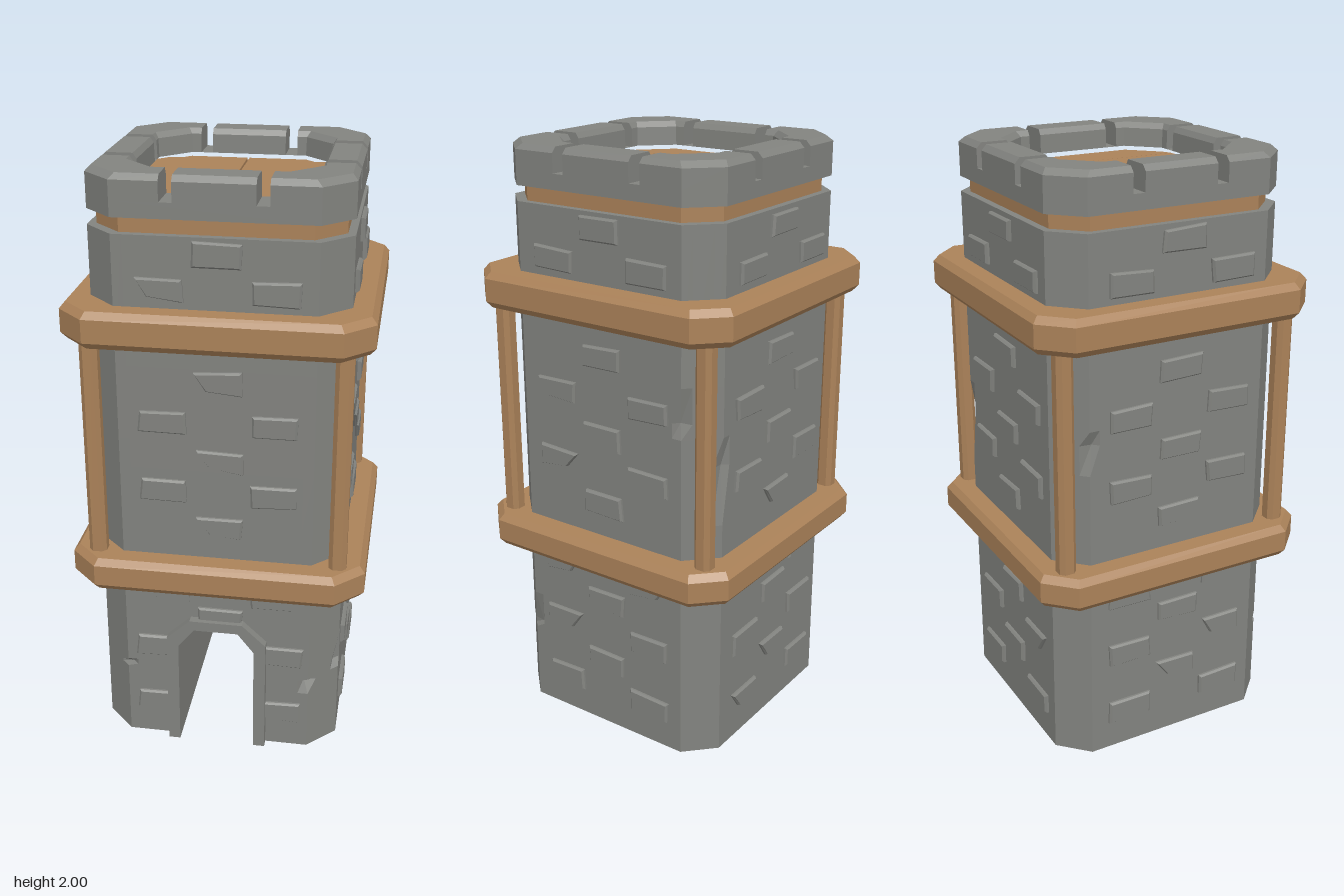
import * as THREE from 'three';

const stone = new THREE.MeshStandardMaterial({ color: 0x82837f });
stone.name = 'stone';
const wood = new THREE.MeshStandardMaterial({ color: 0xab8259 });
wood.name = 'wood';

// small seeded generator for the uneven bricks
let seed = 7;
const rnd = () => (seed = (seed * 16807) % 2147483647) / 2147483647;

// chamfered square as [x, z] points, counter-clockwise from above
function oct(h, c) {
  const k = h - c;
  return [[-k, h], [k, h], [h, k], [h, -k], [k, -h], [-k, -h], [-h, -k], [-h, k]];
}

// flat-faced solid through stacked outlines: [[points, y], ...]
function loft(sections) {
  const pos = [];
  const put = ([x, z], y) => pos.push(x, y, z);
  for (let s = 0; s < sections.length - 1; s++) {
    const [a, y0] = sections[s], [b, y1] = sections[s + 1];
    a.forEach((p, i) => {
      const j = (i + 1) % a.length;
      put(p, y0); put(a[j], y0); put(b[j], y1);
      put(p, y0); put(b[j], y1); put(b[i], y1);
    });
  }
  const cap = ([pts, y], up) => {
    const flat = pts.map(([x, z]) => new THREE.Vector2(x, -z));
    for (const f of THREE.ShapeUtils.triangulateShape(flat, [])) {
      (up ? f : [f[0], f[2], f[1]]).forEach(i => put(pts[i], y));
    }
  };
  cap(sections[0], false);
  cap(sections[sections.length - 1], true);
  const g = new THREE.BufferGeometry();
  g.setAttribute('position', new THREE.Float32BufferAttribute(pos, 3));
  g.computeVertexNormals();
  return g;
}

function add(parent, name, geometry, material) {
  const mesh = new THREE.Mesh(geometry, material);
  mesh.name = name;
  parent.add(mesh);
  return mesh;
}

// wall section whose corners carry chips [corner, yLow, yMid, yHigh]
function wall(y0, y1, chips, reshape = p => p) {
  const corners = oct(0.41, 0.095), d = 0.035;
  const toward = (a, b) => {
    const l = Math.hypot(b[0] - a[0], b[1] - a[1]);
    return [a[0] + (b[0] - a[0]) * d / l, a[1] + (b[1] - a[1]) * d / l];
  };
  const levels = [...new Set([y0, y1, ...chips.flatMap(c => c.slice(1))])].sort((a, b) => a - b);
  return loft(levels.map(y => [reshape(corners.flatMap((p, i) => {
    const k = chips.some(c => c[0] === i && c[2] === y) ? 0.95 : 1;
    return [toward(p, corners[(i + 7) % 8]), [p[0] * k, p[1] * k], toward(p, corners[(i + 1) % 8])];
  })), y]));
}

function extrude(points, depth, hole) {
  const v = pts => pts.map(p => new THREE.Vector2(...p));
  const shape = new THREE.Shape(v(points));
  if (hole) shape.holes.push(new THREE.Path(v(hole)));
  return new THREE.ExtrudeGeometry(shape, { depth, bevelEnabled: false });
}

// worn brick, lying against a wall that faces +z
function brick(w) {
  const h = 0.037, worn = rnd() < 0.35, end = rnd() < 0.5 ? 1 : -1;
  const j = () => (rnd() - 0.5) * 0.01;
  const base = [[-w, h], [w, h], [w, -h], [-w, -h]].map(([x, z]) => {
    const cut = worn && x * end > 0 && z > 0 ? 0.04 : 0;
    return [x + j() - end * cut, z + j() - cut * 0.3];
  });
  const top = base.map(([x, z]) => [x * 0.91, z * 0.85]);
  const g = loft([[base, -0.01], [base, 0.007], [top, 0.014]]);
  return g.rotateX(Math.PI / 2);
}

export function createModel() {
  const tower = new THREE.Group();
  tower.name = 'tower';

  // walls, with the doorway cut into the lower part
  const doorBack = -0.25;
  add(tower, 'lowerWall', wall(0, 0.46, [[0, 0.22, 0.28, 0.42], [1, 0.2, 0.27, 0.44], [2, 0.22, 0.3, 0.44]],
    p => [...p.slice(0, 3), [-0.13, 0.41], [-0.13, doorBack], [0.13, doorBack], [0.13, 0.41], ...p.slice(3)]), stone);
  add(tower, 'upperWall', wall(0.46, 1.82, [[3, 1.05, 1.2, 1.32], [4, 0.8, 1.05, 1.4], [6, 0.85, 1.15, 1.4]]), stone);
  for (const s of [-1, 1]) {
    const haunch = [[0.13 * s, 0.39], [0.13 * s, 0.46], [0.075 * s, 0.46]];
    add(tower, 'doorHaunch', extrude(haunch, 0.41 - doorBack), stone).position.z = doorBack;
  }

  // door frame
  add(tower, 'doorFrame', extrude([
    [-0.17, 0], [-0.13, 0], [-0.13, 0.39], [-0.075, 0.46], [0.075, 0.46], [0.13, 0.39], [0.13, 0],
    [0.17, 0], [0.17, 0.42], [0.09, 0.495], [-0.09, 0.495], [-0.17, 0.42],
  ], 0.04), stone).position.z = 0.4;

  // raised bricks on all four sides
  const pairRows = [1.655, 1.22, 0.975, 0.59, 0.37, 0.14];
  const singleRows = [1.77, 1.36, 1.09, 0.85, 0.49, 0.25];
  for (let side = 0; side < 4; side++) {
    const face = new THREE.Group();
    face.name = 'brickFace';
    face.rotation.y = side * Math.PI / 2;
    tower.add(face);
    const lay = (x, y, w = 0.075) => add(face, 'brick', brick(w), stone).position.set(x, y, 0.41);
    for (const y of pairRows) {
      const byDoor = side === 0 && y < 0.45;
      for (const s of [-1, 1]) lay(s * (byDoor ? 0.22 : 0.18) + 0.008, y, byDoor ? 0.066 : 0.075);
    }
    for (const y of singleRows) {
      if (side === 0 && y < 0.3) continue;
      lay(0.01, side === 0 && y < 0.5 ? 0.505 : y);
    }
  }

  // timber rings and corner posts
  for (const [y0, y1] of [[0.62, 0.735], [1.475, 1.595]]) {
    const inner = oct(0.472, 0.085), outer = oct(0.49, 0.092);
    add(tower, 'timberRing', loft([[inner, y0], [outer, y0 + 0.022], [outer, y1 - 0.022], [inner, y1]]), wood);
  }
  for (const x of [-0.4, 0.4]) for (const z of [-0.4, 0.4]) {
    const post = oct(0.029, 0.014).map(p => [p[0] + x, p[1] + z]);
    add(tower, 'cornerPost', loft([[post, 0.7], [post, 1.5]]), wood);
  }

  // timber band under the parapet
  add(tower, 'timberBand', loft([[oct(0.385, 0.09), 1.81], [oct(0.385, 0.09), 1.88]]), wood);

  // parapet base and merlons
  const base = extrude(oct(0.41, 0.095), 0.05, oct(0.292, 0.097));
  add(tower, 'parapetBase', base.rotateX(-Math.PI / 2).translate(0, 1.87, 0), stone);
  const n = 0.165, m = 0.125;
  const corner = (o, i) => {
    const ko = o - 0.095, ki = i - 0.097;
    return [[n, o], [ko, o], [o, ko], [o, n], [i, n], [i, ki], [ki, i], [n, i]];
  };
  const middle = (o, i) => [[-m, o], [m, o], [m, i], [-m, i]];
  for (let q = 0; q < 4; q++) {
    for (const [name, plan] of [['cornerMerlon', corner], ['middleMerlon', middle]]) {
      const g = loft([[plan(0.41, 0.292), 1.92], [plan(0.41, 0.294), 1.982], [plan(0.393, 0.306), 2]]);
      add(tower, name, g, stone).rotation.y = q * Math.PI / 2;
    }
  }

  // roof deck of planks with narrow, uneven gaps
  add(tower, 'deckBase', loft([[oct(0.3, 0.1), 1.865], [oct(0.3, 0.1), 1.893]]), wood);
  const reach = x => Math.min(0.3, 0.5 - Math.abs(x));
  const seams = [-0.3, -0.16, 0, 0.17, 0.3];
  for (let i = 0; i < 4; i++) {
    const a = seams[i] + 0.001, b = seams[i + 1] - 0.002, slant = 0.004 * (i % 2);
    const xs = [a, ...[-0.2, 0.2].filter(x => x > a && x < b), b];
    const plan = [...xs.map(x => [x, reach(x)]), ...xs.reverse().map(x => [x - slant, -reach(x)])];
    add(tower, 'deckPlank', loft([[plan, 1.88], [plan, 1.905]]), wood);
  }
  return tower;
}
